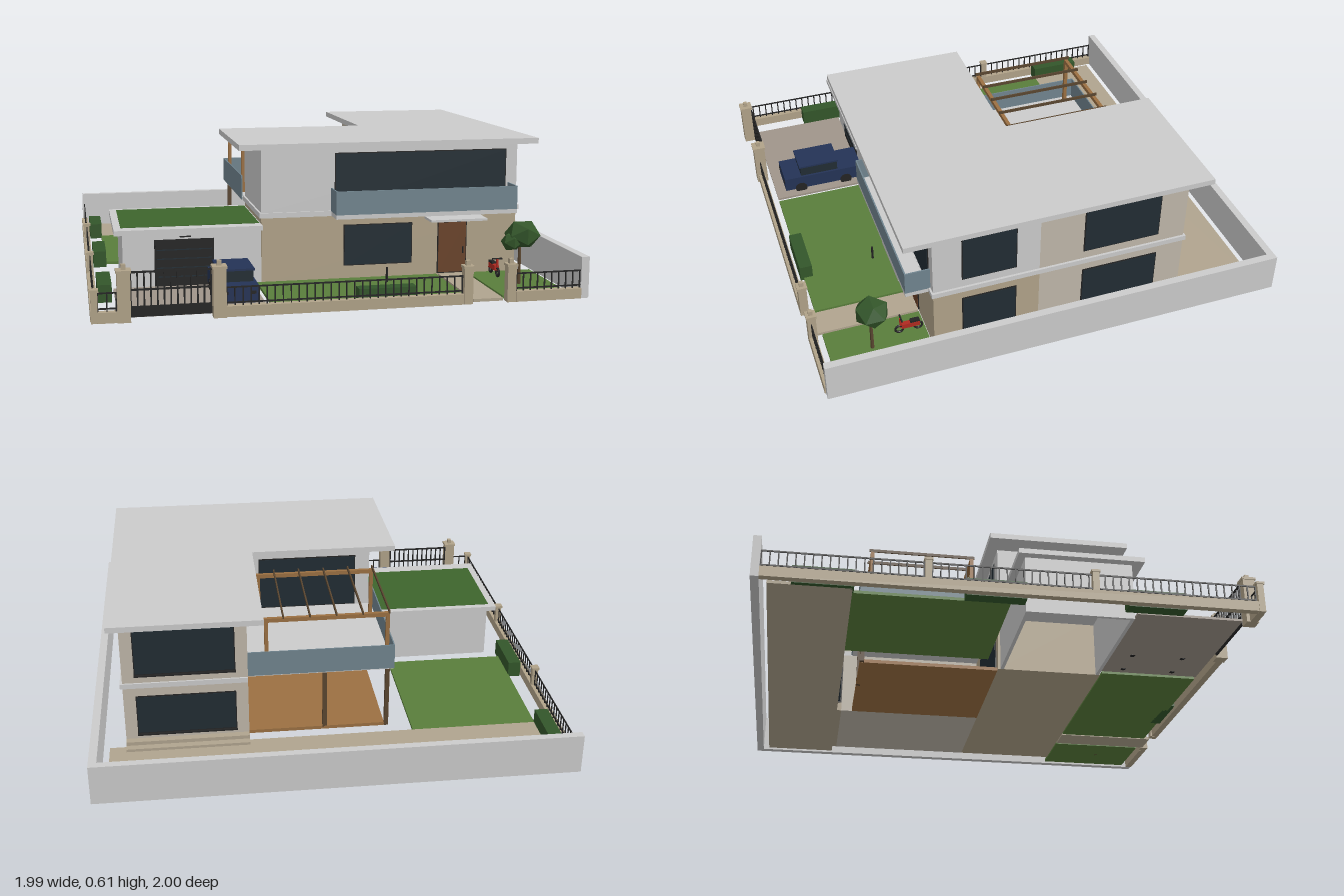
import * as THREE from 'three';

const C = {
  grey: 0xcccccc, white: 0xf4f4f2, tan: 0xb1a389, beige: 0xbfb7aa, paving: 0xb0a48e, drive: 0xa0958a,
  lawn: 0x597d3b, roofLawn: 0x3d652c, hedge: 0x33562a, wood: 0x9b7042, door: 0x6a4329,
  dark: 0x242424, window: 0x212c33, glass: 0x71858f, navy: 0x243356, red: 0xb02a20, post: 0x5a4630,
};
const materials = {};
const mat = (name) => (materials[name] ??= new THREE.MeshStandardMaterial({ color: C[name], flatShading: true }));

export function createModel() {
  const model = new THREE.Group();
  model.name = 'houseWithGarden';
  let parent = model;

  const group = (name, build) => {
    const g = new THREE.Group();
    g.name = name;
    const previous = parent;
    previous.add(g);
    parent = g;
    build();
    parent = previous;
  };
  const add = (name, geometry, color, x = 0, y = 0, z = 0) => {
    const m = new THREE.Mesh(geometry, mat(color));
    m.name = name;
    m.position.set(x, y, z);
    parent.add(m);
    return m;
  };
  // Box given by its limits on each axis
  const box = (name, color, x0, x1, y0, y1, z0, z1) =>
    add(name, new THREE.BoxGeometry(x1 - x0, y1 - y0, z1 - z0), color, (x0 + x1) / 2, (y0 + y1) / 2, (z0 + z1) / 2);

  // Ground surfaces
  group('ground', () => {
    box('backPaving', 'paving', -0.94, 0.93, 0, 0.012, -0.94, -0.62);
    box('sideLawn', 'lawn', -0.905, -0.365, 0, 0.012, -0.62, -0.01);
    box('frontLawn', 'lawn', -0.29, 0.5, 0, 0.012, 0.51, 0.93);
    box('cornerLawn', 'lawn', 0.645, 0.93, 0, 0.012, 0.51, 0.93);
    box('entrancePath', 'paving', 0.51, 0.635, 0, 0.012, 0.51, 0.96);
    box('driveway', 'drive', -0.89, -0.31, 0.002, 0.012, 0.5, 0.93);
    box('woodDeck', 'wood', -0.25, 0.34, 0, 0.015, -0.55, 0.05);
  });

  // Boundary walls, railings, pillars and gate
  group('boundary', () => {
    box('backWall', 'grey', -0.99, 0.99, 0, 0.17, -1, -0.968);
    box('rightWall', 'grey', 0.957, 0.99, 0, 0.17, -0.968, 0.985);
    const railing = (axis, from, to, at) => {
      const place = (name, color, a, b, y0, y1, half) => axis === 'x'
        ? box(name, color, a, b, y0, y1, at - half, at + half)
        : box(name, color, at - half, at + half, y0, y1, a, b);
      place('lowWall', 'tan', from, to, 0, 0.042, 0.015);
      for (const y of [0.05, 0.11]) place('rail', 'dark', from, to, y, y + 0.006, 0.002);
      const n = Math.round((to - from) / 0.032);
      for (let i = 0; i <= n; i++) {
        const a = from + 0.003 + (i / n) * (to - from - 0.006);
        place('baluster', 'dark', a - 0.0025, a + 0.0025, 0.042, 0.113, 0.002);
      }
    };
    railing('x', -0.97, -0.895, 0.975);
    railing('x', -0.485, 0.46, 0.975);
    railing('x', 0.68, 0.957, 0.975);
    railing('z', -0.968, 0.96, -0.98);
    const pillar = (x, z, w, h) => {
      box('pillar', 'tan', x - w / 2, x + w / 2, 0, h, z - w / 2, z + w / 2);
      box('pillarCap', 'tan', x - w / 2 - 0.004, x + w / 2 + 0.004, h, h + 0.01, z - w / 2 - 0.004, z + w / 2 + 0.004);
    };
    for (const z of [-0.34, 0.31, 0.975]) pillar(-0.98, z, 0.026, 0.12);
    for (const [x, w, h] of [[-0.87, 0.05, 0.19], [-0.51, 0.05, 0.19], [0.48, 0.036, 0.145], [0.66, 0.036, 0.145]]) {
      pillar(x, 0.972, w, h);
      box('pillarLamp', 'tan', x - 0.009, x + 0.009, h + 0.01, h + 0.03, 0.963, 0.981);
    }
    group('drivewayGate', () => {
      box('gatePanel', 'dark', -0.845, -0.535, 0.008, 0.05, 0.944, 0.95);
      for (const y of [0.11, 0.178]) box('gateRail', 'dark', -0.845, -0.535, y, y + 0.007, 0.944, 0.95);
      for (let i = 0; i <= 12; i++) {
        const x = -0.842 + i * 0.0253;
        box('gateBar', 'dark', x - 0.003, x + 0.003, 0.03, 0.185, 0.944, 0.95);
      }
    });
  });

  // Framed window or pane set on a wall that faces +x, -x, +z or -z
  const opening = (name, face, at, a, b, y0, y1, color = 'window') => {
    const s = face[0] === '-' ? -1 : 1;
    const layer = (part, c, grow, depth) => {
      const d0 = Math.min(at, at + s * depth), d1 = Math.max(at, at + s * depth);
      return face[1] === 'x'
        ? box(part, c, d0, d1, y0 - grow, y1 + grow, a - grow, b + grow)
        : box(part, c, a - grow, b + grow, y0 - grow, y1 + grow, d0, d1);
    };
    layer(name + 'Frame', 'dark', 0.004, 0.004);
    layer(name, color, 0, 0.006);
  };

  // Main house: a front block and a rear wing in an L
  group('house', () => {
    box('groundFloorFront', 'tan', -0.27, 0.86, 0, 0.285, 0.05, 0.505);
    box('groundFloorRear', 'beige', 0.34, 0.86, 0, 0.285, -0.6, 0.05);
    box('floorBandFront', 'grey', -0.278, 0.87, 0.285, 0.307, 0.05, 0.513);
    box('floorBandRear', 'grey', 0.34, 0.87, 0.285, 0.307, -0.608, 0.05);
    box('upperFloorFront', 'grey', -0.27, 0.86, 0.307, 0.59, 0.05, 0.505);
    box('upperFloorRear', 'beige', 0.34, 0.86, 0.307, 0.59, -0.6, 0.05);
    for (const [y, z] of [[0.024, -0.66], [0.04, -0.63]]) box('backStep', 'paving', 0.34, 0.86, 0, y, z, -0.6);

    const outline = [[-0.38, -0.63], [0.905, -0.63], [0.905, 0.69], [0.275, 0.69], [0.275, 0], [-0.38, 0]];
    const shape = new THREE.Shape(outline.map(([x, y]) => new THREE.Vector2(x, y)));
    const roof = new THREE.ExtrudeGeometry(shape, { depth: 0.024, bevelEnabled: false });
    add('roof', roof.rotateX(-Math.PI / 2), 'grey', 0, 0.588, 0);

    for (const [y0, y1] of [[0.07, 0.24], [0.35, 0.55]]) {
      opening('sideWindow', '+x', 0.86, 0.155, 0.38, y0, y1);
      opening('sideWindow', '+x', 0.86, -0.475, -0.145, y0, y1);
      opening('backWindow', '-z', -0.6, 0.395, 0.805, y0, y1);
      box('windowSill', 'dark', 0.39, 0.81, y0 - 0.01, y0 - 0.004, -0.615, -0.6);
    }
    opening('livingRoomWindow', '+z', 0.505, 0.09, 0.385, 0.07, 0.24);
    opening('balconyWindow', '+z', 0.505, 0.05, 0.805, 0.312, 0.55);
    opening('terraceWindow', '-z', 0.05, -0.2, 0.24, 0.312, 0.55);
    opening('gardenDoor', '-z', 0.05, -0.22, 0.2, 0.024, 0.24);
    opening('frontDoor', '+z', 0.505, 0.508, 0.632, 0.018, 0.238, 'door');
    box('doorHandle', 'dark', 0.617, 0.621, 0.1, 0.13, 0.511, 0.517);
    box('doorCanopy', 'grey', 0.445, 0.695, 0.258, 0.268, 0.505, 0.605);
  });

  // Glass-sided front balcony
  group('balcony', () => {
    box('balconyFloor', 'grey', 0.03, 0.825, 0.287, 0.305, 0.505, 0.61);
    box('balconyFrontGlass', 'glass', 0.03, 0.825, 0.305, 0.405, 0.604, 0.61);
    for (const x of [0.03, 0.819]) box('balconySideGlass', 'glass', x, x + 0.006, 0.305, 0.405, 0.505, 0.604);
  });

  // Rear terrace on posts, with a timber pergola
  group('terrace', () => {
    box('terraceFloor', 'white', -0.283, 0.34, 0.285, 0.305, -0.56, 0.05);
    box('terraceBackGlass', 'glass', -0.283, 0.34, 0.29, 0.4, -0.564, -0.559);
    box('terraceSideGlass', 'glass', -0.286, -0.281, 0.29, 0.4, -0.564, 0.05);
    for (const x of [-0.26, 0.01]) box('terracePost', 'post', x - 0.009, x + 0.009, 0, 0.285, -0.55, -0.532);
    for (const z of [-0.515, -0.068]) {
      box('pergolaBeam', 'wood', -0.268, 0.34, 0.515, 0.533, z - 0.008, z + 0.008);
      for (const x of [-0.26, 0.255]) box('pergolaPost', 'wood', x - 0.008, x + 0.008, 0.305, 0.515, z - 0.008, z + 0.008);
    }
    for (let i = 0; i < 5; i++) {
      const x = -0.265 + i * 0.112;
      box('pergolaRafter', 'post', x - 0.003, x + 0.003, 0.533, 0.546, -0.53, -0.055);
    }
  });

  // Hollow garage with planted roof
  group('garage', () => {
    box('garageSideWall', 'grey', -0.85, -0.835, 0, 0.24, 0.06, 0.5);
    box('garageBackWall', 'grey', -0.835, -0.27, 0, 0.24, 0.06, 0.075);
    box('garageFrontWall', 'grey', -0.835, -0.27, 0, 0.24, 0.485, 0.5);
    box('garageRoof', 'grey', -0.885, -0.27, 0.24, 0.261, 0.03, 0.545);
    box('roofGarden', 'roofLawn', -0.855, -0.275, 0.25, 0.2625, 0.06, 0.485);
    opening('garageDoor', '+z', 0.5, -0.715, -0.475, 0.012, 0.205, 'dark');
    for (let i = 1; i < 5; i++) box('doorSlat', 'window', -0.71, -0.48, 0.012 + i * 0.038, 0.016 + i * 0.038, 0.506, 0.509);
    box('garageLamp', 'dark', -0.613, -0.567, 0.218, 0.222, 0.5, 0.51);
  });

  // Parked car
  group('car', () => {
    box('carBody', 'navy', -0.5, -0.34, 0.025, 0.09, 0.51, 0.885);
    box('carCabin', 'window', -0.489, -0.351, 0.09, 0.138, 0.626, 0.804);
    box('carRoof', 'navy', -0.493, -0.347, 0.135, 0.143, 0.62, 0.81);
    for (const x of [-0.493, -0.347]) for (const z of [0.59, 0.81]) {
      add('wheel', new THREE.CylinderGeometry(0.028, 0.028, 0.02, 16).rotateZ(Math.PI / 2), 'dark', x, 0.028, z);
    }
    for (const x of [-0.475, -0.365]) box('headlight', 'dark', x - 0.012, x + 0.012, 0.06, 0.072, 0.885, 0.888);
  });

  // Hedges, tree and garden light
  group('planting', () => {
    for (const z of [-0.85, -0.19, 0.445]) box('sideHedge', 'hedge', -0.96, -0.903, 0, 0.072, z, z + 0.235);
    box('frontHedge', 'hedge', 0.045, 0.28, 0, 0.072, 0.89, 0.945);
    add('treeTrunk', new THREE.CylinderGeometry(0.006, 0.008, 0.18, 7), 'post', 0.785, 0.09, 0.75);
    add('treeCrown', new THREE.IcosahedronGeometry(0.076, 0), 'hedge', 0.797, 0.222, 0.745).scale.y = 0.85;
    add('treeSideCrown', new THREE.IcosahedronGeometry(0.045, 0), 'hedge', 0.745, 0.195, 0.758).scale.y = 0.9;
    add('gardenLight', new THREE.CylinderGeometry(0.005, 0.005, 0.075, 8), 'dark', 0.25, 0.038, 0.61);
  });

  // Small red scooter beside the entrance
  group('scooter', () => {
    for (const z of [0.54, 0.622]) add('scooterWheel', new THREE.TorusGeometry(0.017, 0.005, 6, 14).rotateY(Math.PI / 2), 'dark', 0.74, 0.033, z);
    box('scooterBody', 'red', 0.73, 0.75, 0.038, 0.06, 0.535, 0.612);
    box('scooterSeat', 'dark', 0.731, 0.749, 0.06, 0.07, 0.535, 0.575);
    box('scooterStem', 'red', 0.736, 0.744, 0.04, 0.09, 0.612, 0.62);
    box('scooterHandlebar', 'dark', 0.718, 0.762, 0.088, 0.094, 0.611, 0.617);
  });

  return model;
}
